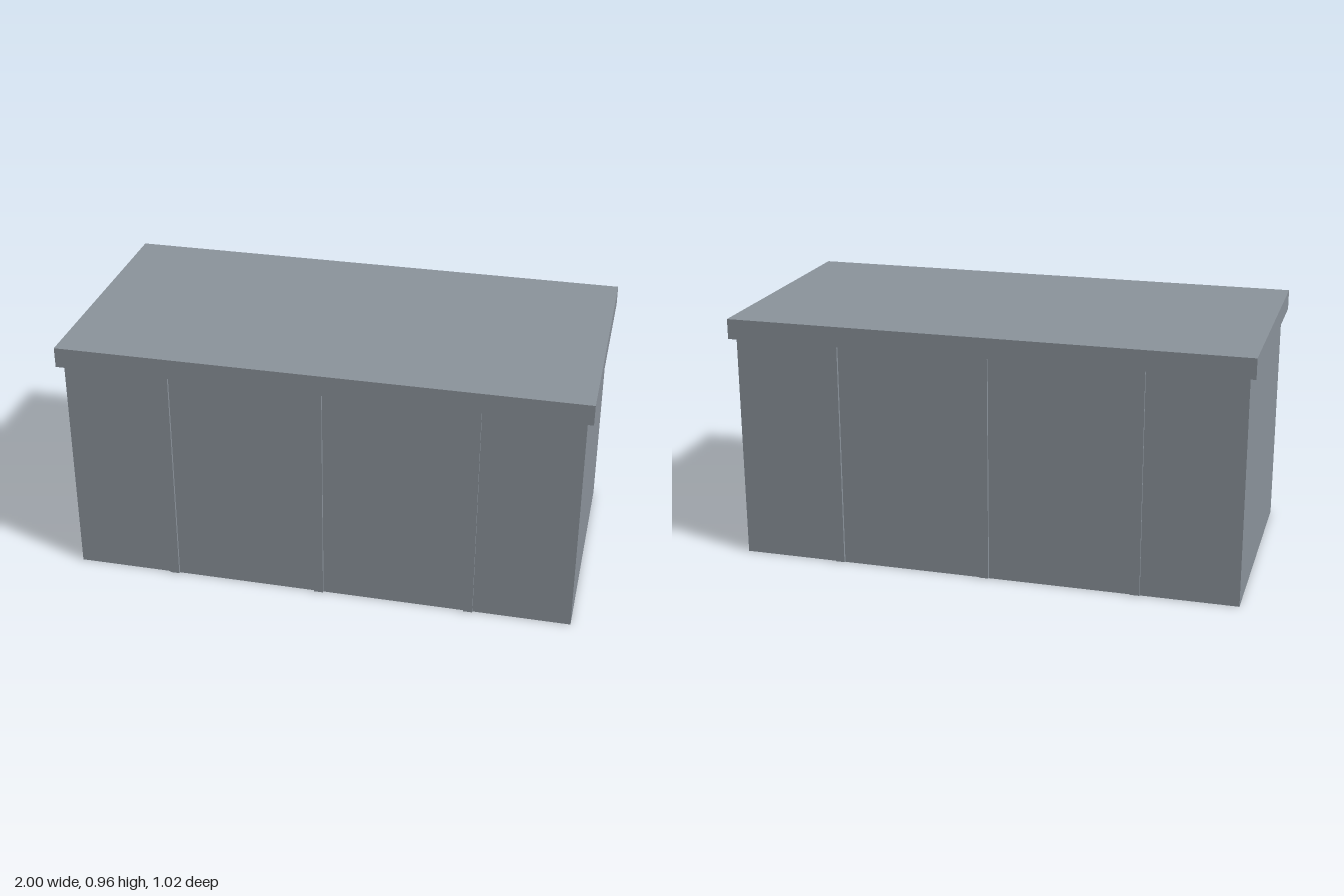
import * as THREE from 'three';

export function createModel() {
  const model = new THREE.Group();
  const slateGrey = new THREE.MeshStandardMaterial({ color: 0x8c949c });
  slateGrey.name = 'slateGrey';

  // Box resting on a given base height
  const addBox = (name, w, h, d, x, y, z) => {
    const mesh = new THREE.Mesh(new THREE.BoxGeometry(w, h, d), slateGrey);
    mesh.name = name;
    mesh.position.set(x, y + h / 2, z);
    model.add(mesh);
  };

  // Main block and overhanging top slab
  addBox('body', 1.954, 0.88, 0.972, 0, 0, 0);
  addBox('topSlab', 2, 0.078, 1.022, 0, 0.88, 0);

  // Three thin vertical ribs on the front and on the back
  for (const [side, sign] of [['front', 1], ['back', -1]]) {
    [-0.587, -0.001, 0.585].forEach((x, i) => {
      addBox(`${side}Rib${i + 1}`, 0.036, 0.877, 0.022, x, 0.003, sign * 0.486);
    });
  }
  return model;
}
